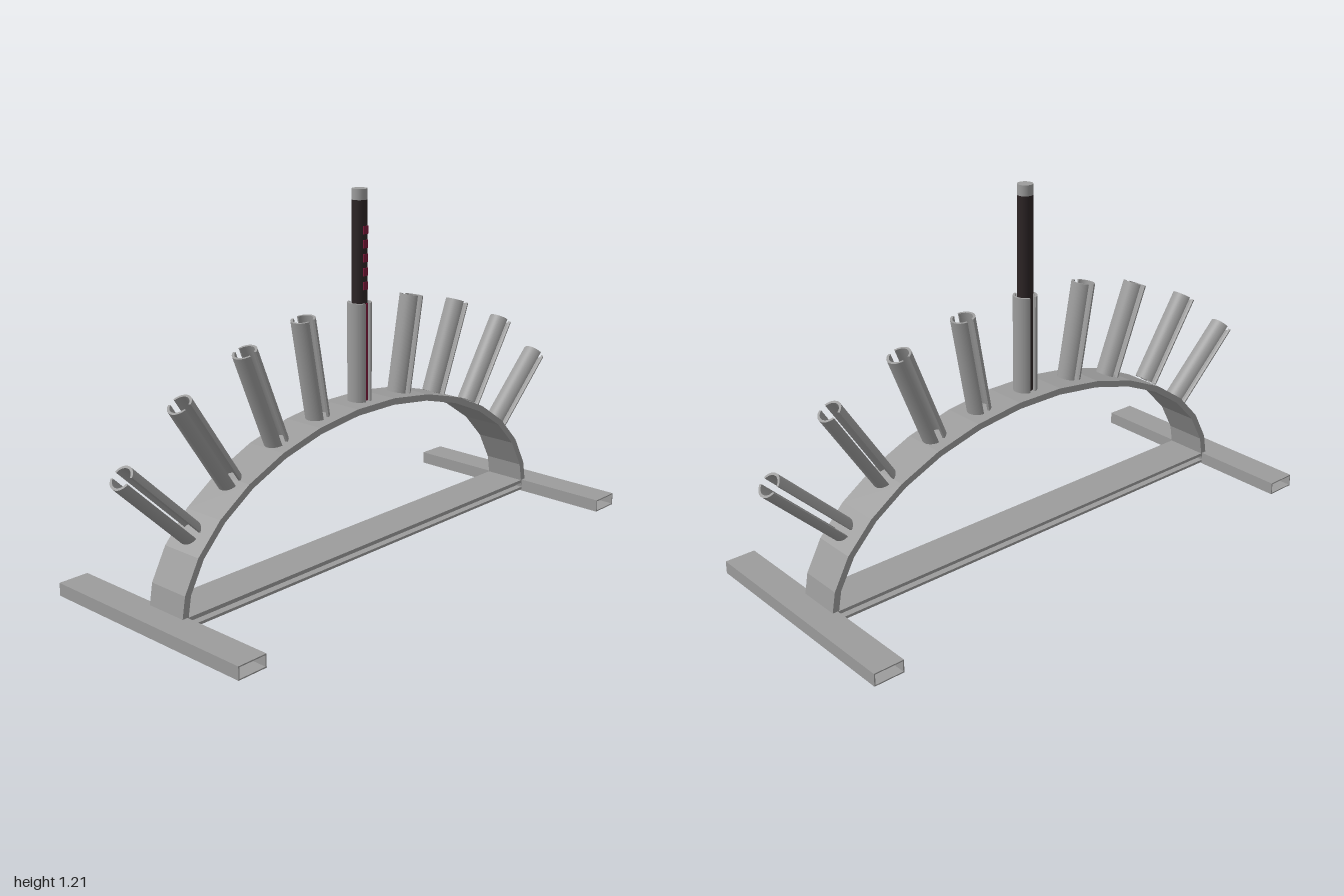
import * as THREE from 'three';

export function createModel() {
  const model = new THREE.Group();
  const steel = new THREE.MeshStandardMaterial({ color: 0x9c9c9c });
  steel.name = 'steel grey';
  const dark = new THREE.MeshStandardMaterial({ color: 0x2c2425 });
  dark.name = 'dark rod';
  const red = new THREE.MeshStandardMaterial({ color: 0x7a1838 });
  red.name = 'deep red';

  const add = (name, geometry, material, parent = model) => {
    const mesh = new THREE.Mesh(geometry, material);
    mesh.name = name;
    parent.add(mesh);
    return mesh;
  };
  const extrude = (shape, depth) => new THREE.ExtrudeGeometry(shape, { depth, bevelEnabled: false, curveSegments: 14 });
  const polygon = (points) => new THREE.Shape(points.map(([x, y]) => new THREE.Vector2(x, y)));

  // Half-elliptical flat-bar arch
  const segments = 15, outer = [], inner = [];
  for (let i = 0; i <= segments; i++) {
    const a = (i / segments) * Math.PI;
    outer.push([0.845 * Math.cos(a), 0.005 + 0.514 * Math.sin(a)]);
    inner.unshift([0.822 * Math.cos(a), 0.005 + 0.492 * Math.sin(a)]);
  }
  add('arch', extrude(polygon([...outer, ...inner]), 0.15).translate(0, 0, -0.075), steel);

  // Crossbar with a groove along each side
  const half = [[0.075, 0.005], [0.075, 0.014], [0.05, 0.014], [0.05, 0.031], [0.075, 0.031], [0.075, 0.042]];
  const section = [...half, ...half.map(([z, y]) => [-z, y]).reverse()];
  add('crossbar', extrude(polygon(section), 1.645).translate(0, 0, -0.8225).rotateY(Math.PI / 2), steel);

  // Hollow rectangular feet, open at both ends
  const w = 0.0525, h = 0.043, t = 0.004;
  const footShape = polygon([[-w, 0], [w, 0], [w, h], [-w, h]]);
  footShape.holes.push(polygon([[t - w, t], [t - w, h - t], [w - t, h - t], [w - t, t]]));
  for (const side of [-1, 1]) {
    add(side > 0 ? 'leftFoot' : 'rightFoot', extrude(footShape, 0.816).translate(side * 0.8725, 0, -0.408), steel);
  }

  // Holder tubes, each made of two half shells with slots at front and back
  const R = 0.04, r = 0.032, gap = 0.29;
  const shell = new THREE.Shape();
  shell.absarc(0, 0, R, gap - Math.PI / 2, Math.PI / 2 - gap, false);
  shell.absarc(0, 0, r, Math.PI / 2 - gap, gap - Math.PI / 2, true);
  const shellGeometry = extrude(shell, 0.332).rotateX(-Math.PI / 2);
  const addHolder = (x, y, degrees) => {
    const holder = new THREE.Group();
    holder.name = 'holderTube';
    for (const turn of [0, Math.PI]) add('halfShell', shellGeometry, steel, holder).rotation.y = turn;
    holder.position.set(x, y, 0);
    holder.rotation.z = -THREE.MathUtils.degToRad(degrees);
    model.add(holder);
  };
  addHolder(0, 0.512, 0);
  for (const [x, y, degrees] of [[0.197, 0.503, 10.5], [0.38, 0.462, 22], [0.577, 0.385, 33.5], [0.738, 0.265, 46]]) {
    addHolder(x, y, degrees);
    addHolder(-x, y, -degrees);
  }

  // Rod standing in the middle holder, with a plain end cap
  add('rod', new THREE.CylinderGeometry(0.026, 0.026, 0.66, 24).translate(0, 0.845, 0), dark);
  add('rodCap', new THREE.CylinderGeometry(0.026, 0.026, 0.035, 24).translate(0, 1.1925, 0), steel);

  // Red stripe inside the slot and spots above it, on the front only
  add('rodStripe', new THREE.BoxGeometry(0.02, 0.325, 0.006).translate(0, 0.68, 0.0255), red);
  for (let i = 0; i < 5; i++) {
    add('rodSpot', new THREE.BoxGeometry(0.02, 0.026, 0.006).translate(0, 0.9 + i * 0.045, 0.0255), red);
  }
  return model;
}
